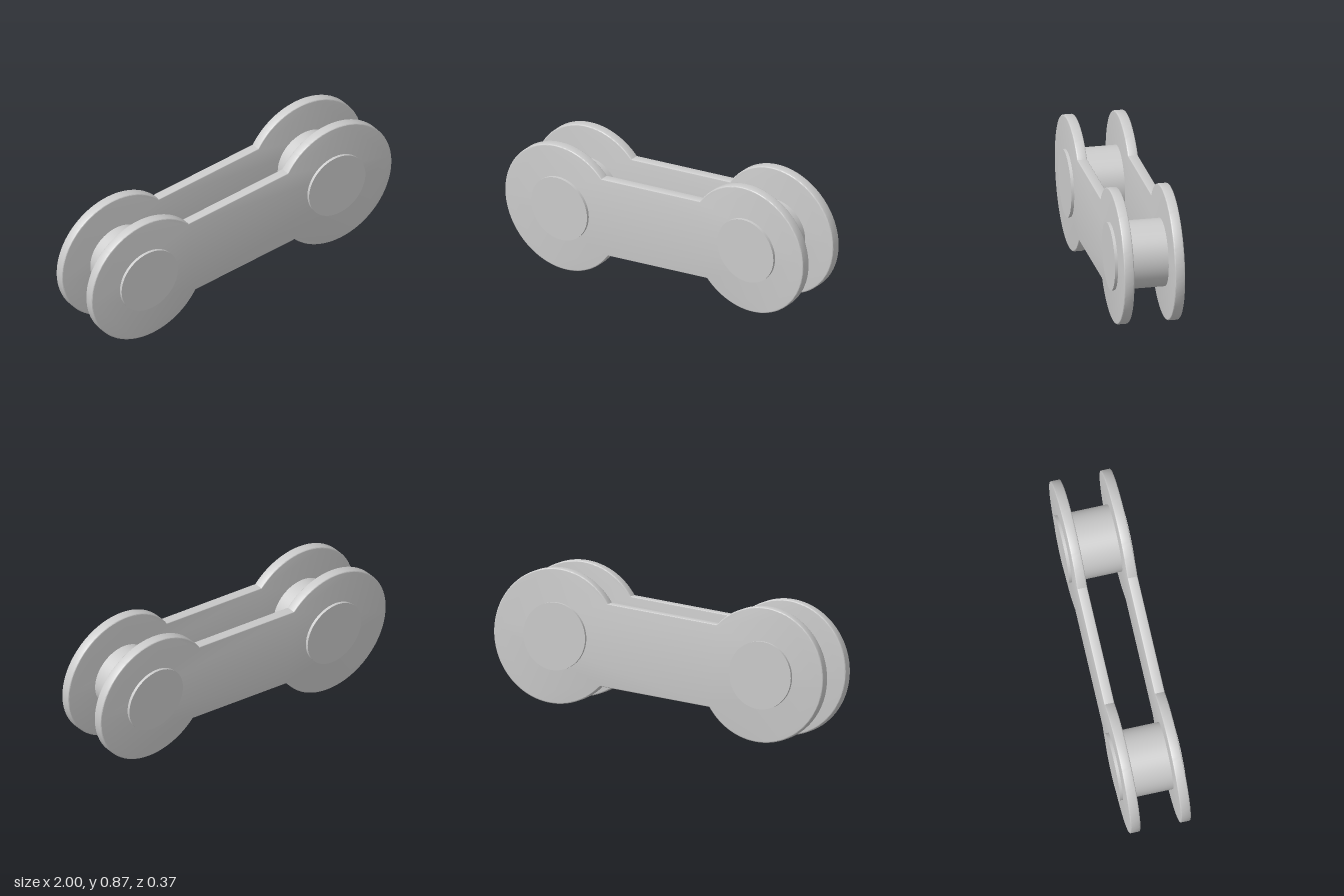
import * as THREE from 'three';
import { toCreasedNormals } from 'three/addons/utils/BufferGeometryUtils.js';

const HALF_SPAN = 0.628;   // half the distance between the pin centres
const EYE_R = 0.375;       // round plate ends
const WAIST = 0.231;       // half height of the straight middle
const PIN_R = 0.1875;
const PIN_LENGTH = 0.371;
const PLATE_T = 0.056;
const PLATE_Z = 0.141;
const BEVEL = 0.006;

// Outline: two round ends joined by a narrower straight bar
function plateGeometry() {
  const a = Math.asin(WAIST / EYE_R);
  const shape = new THREE.Shape();
  shape.absarc(HALF_SPAN, 0, EYE_R, -Math.PI + a, Math.PI - a, false);
  shape.absarc(-HALF_SPAN, 0, EYE_R, a, 2 * Math.PI - a, false);
  shape.closePath();
  const geo = new THREE.ExtrudeGeometry(shape, {
    depth: PLATE_T - 2 * BEVEL,
    bevelThickness: BEVEL,
    bevelSize: BEVEL,
    bevelOffset: -BEVEL,
    bevelSegments: 3,
    curveSegments: 64,
  });
  geo.translate(0, 0, -PLATE_T / 2 + BEVEL);
  return toCreasedNormals(geo, 0.6);
}

export function createModel() {
  const material = new THREE.MeshStandardMaterial({ color: 0xcccccc });
  const link = new THREE.Group();
  link.name = 'chainLink';

  const plate = plateGeometry();
  const pin = new THREE.CylinderGeometry(PIN_R, PIN_R, PIN_LENGTH, 72).rotateX(Math.PI / 2);

  // Front and back plates
  for (const [name, side] of [['frontPlate', 1], ['backPlate', -1]]) {
    const mesh = new THREE.Mesh(plate, material);
    mesh.name = name;
    mesh.position.z = side * PLATE_Z;
    link.add(mesh);
  }

  // Pins through both plates, standing slightly proud
  for (const [name, side] of [['leftPin', 1], ['rightPin', -1]]) {
    const mesh = new THREE.Mesh(pin, material);
    mesh.name = name;
    mesh.position.x = side * HALF_SPAN;
    link.add(mesh);
  }

  // The whole link is tilted, its left end higher
  link.rotation.z = Math.atan(0.1);
  link.position.y = 0.441;

  const model = new THREE.Group();
  model.add(link);
  return model;
}
